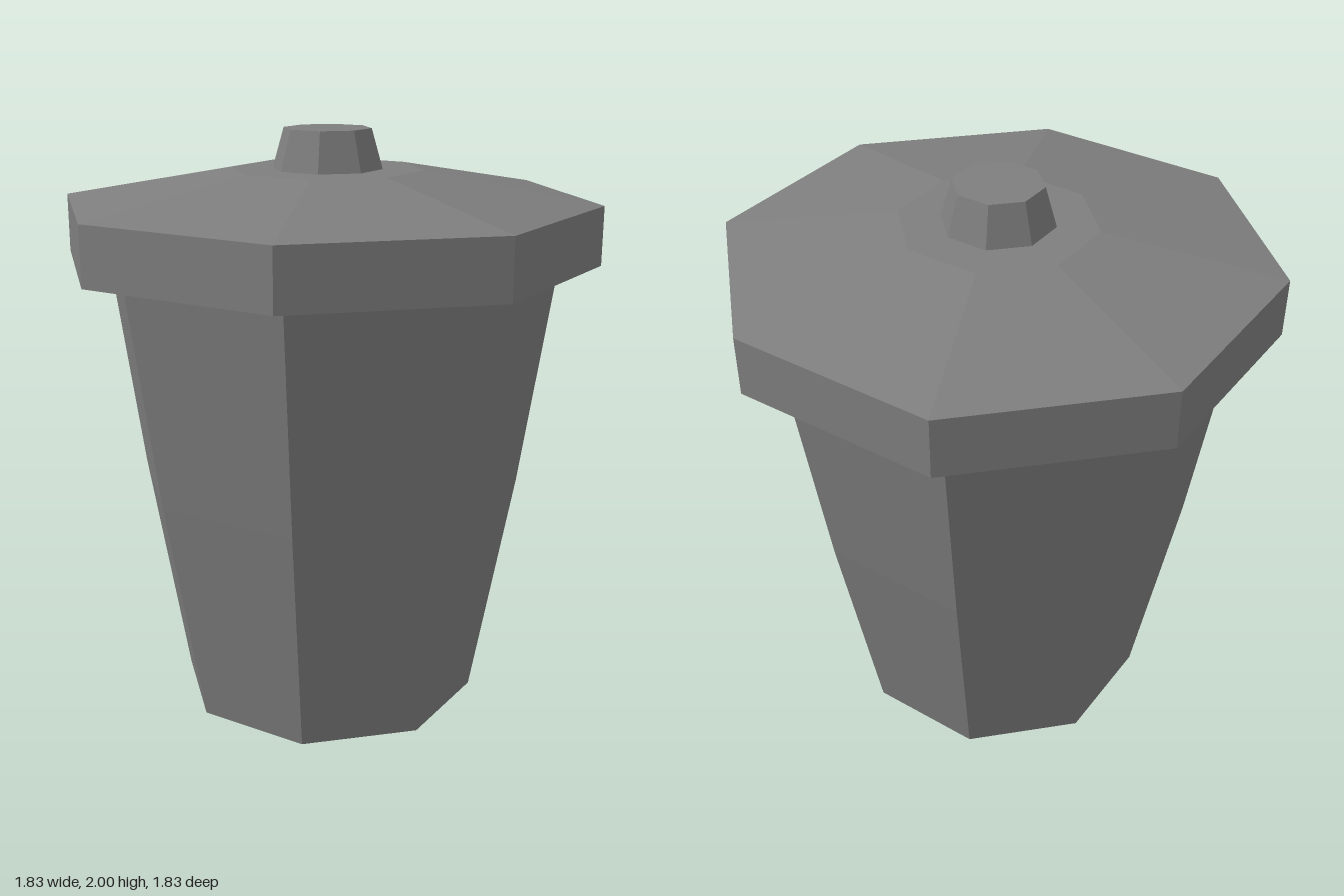
import * as THREE from 'three';

const SIDES = 8;

// Eight-sided turned part; the profile runs from bottom centre outwards and up
function turned(name, profile, material) {
  const points = profile.map(([r, y]) => new THREE.Vector2(r, y));
  const mesh = new THREE.Mesh(new THREE.LatheGeometry(points, SIDES), material);
  mesh.name = name;
  return mesh;
}

export function createModel() {
  const darkGrey = new THREE.MeshStandardMaterial({ color: 0x7e7e7e, flatShading: true });
  const model = new THREE.Group();
  model.name = 'trashCan';

  // Tapered bin, slightly bowed, closed at the bottom
  model.add(turned('body', [[0, 0], [0.525, 0], [0.667, 0.8], [0.778, 1.565]], darkGrey));

  // Overhanging lid: underside, vertical rim, shallow slope, flat centre
  model.add(turned('lid', [[0, 1.565], [0.915, 1.565], [0.915, 1.762], [0.325, 1.867], [0, 1.867]], darkGrey));

  // Small tapered handle on top
  model.add(turned('knob', [[0.186, 1.867], [0.148, 2], [0, 2]], darkGrey));

  return model;
}
